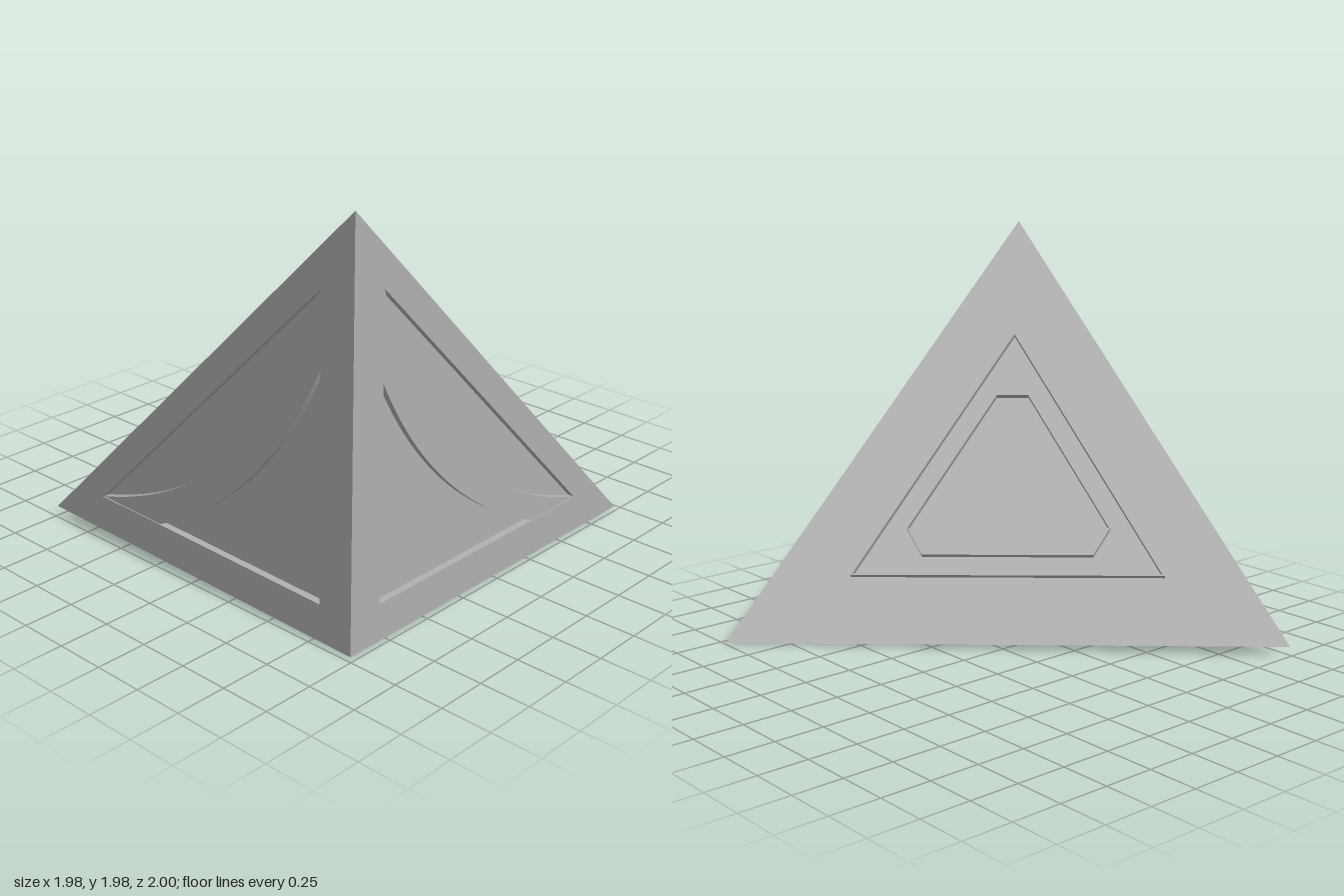
import * as THREE from 'three';
import { mergeGeometries } from 'three/addons/utils/BufferGeometryUtils.js';

const V = (x, y, z) => new THREE.Vector3(x, y, z);
const P = (s, t) => new THREE.Vector2(s, t);

// Solid corners: top, square corner, side and back
const TOP = V(-0.98, 1.98, 1), CORNER = V(-0.975, 0.005, 0.975);
const SIDE = V(0.99, 0, 0.97), BACK = V(-0.985, 0.05, -1);
const DEPTH = 0.035;

// Maps face coordinates (s, t) and a height along the outward normal to space
function faceFrame(o, p, q) {
  const e1 = p.clone().sub(o), e2 = q.clone().sub(o);
  const n = e1.clone().cross(e2).normalize();
  return (s, t, h) => o.clone().addScaledVector(e1, s).addScaledVector(e2, t).addScaledVector(n, h);
}

// Flat panel at height h, with optional hole
function flat(map, outline, h, hole) {
  const shape = new THREE.Shape(outline);
  if (hole) shape.holes.push(new THREE.Path(hole));
  const g = new THREE.ShapeGeometry(shape).toNonIndexed();
  const pos = g.attributes.position;
  for (let i = 0; i < pos.count; i++) {
    const v = map(pos.getX(i), pos.getY(i), h);
    pos.setXYZ(i, v.x, v.y, v.z);
  }
  g.deleteAttribute('uv');
  g.computeVertexNormals();
  return g;
}

// Wall around a counter-clockwise loop, facing outward (inward when flipped)
function wall(map, loop, h0, h1, inward = false) {
  const pts = inward ? [...loop].reverse() : loop;
  const out = [];
  pts.forEach((a, i) => {
    const b = pts[(i + 1) % pts.length];
    const [p, q, r, s] = [map(a.x, a.y, h0), map(b.x, b.y, h0), map(b.x, b.y, h1), map(a.x, a.y, h1)];
    for (const v of [p, q, r, p, r, s]) out.push(v.x, v.y, v.z);
  });
  const g = new THREE.BufferGeometry();
  g.setAttribute('position', new THREE.Float32BufferAttribute(out, 3));
  g.computeVertexNormals();
  return g;
}

const arc = (a, c, b) => new THREE.QuadraticBezierCurve(a, c, b).getPoints(24);

export function createModel() {
  const group = new THREE.Group();
  const grey = new THREE.MeshStandardMaterial({ color: 0xb0b0b0, side: THREE.DoubleSide });
  grey.name = 'grey';
  const add = (name, ...geos) => {
    const mesh = new THREE.Mesh(mergeGeometries(geos), grey);
    mesh.name = name;
    group.add(mesh);
  };

  const triangle = [P(0, 0), P(1, 0), P(0, 1)];
  const recess = [P(0.092, 0.092), P(0.816, 0.092), P(0.092, 0.816)];
  // Crescent between two arcs
  const crescent = [
    ...arc(P(0.64, 0.093), P(0.265, 0.265), P(0.093, 0.61)).reverse(),
    ...arc(P(0.815, 0.093), P(0.26, 0.26), P(0.093, 0.815)),
  ];

  // Three square-cornered faces: frame, sunk panel and crescent
  const faces = { front: [SIDE, TOP], right: [TOP, BACK], bottom: [BACK, SIDE] };
  for (const [name, [p, q]] of Object.entries(faces)) {
    const map = faceFrame(CORNER, p, q);
    add(name + 'Frame', flat(map, triangle, 0, recess));
    add(name + 'SunkPanel', flat(map, recess, -DEPTH), wall(map, recess, -DEPTH, 0, true));
    add(name + 'Crescent', flat(map, crescent, -0.003), wall(map, crescent, -DEPTH, -0.003));
  }

  // Sloping face with two thin raised rims
  const slope = faceFrame(TOP, SIDE, BACK);
  add('slopingFace', flat(slope, triangle, 0));
  const rims = {
    outerRim: [P(0.145, 0.145), P(0.71, 0.145), P(0.145, 0.71)],
    innerRim: [P(0.25, 0.19), P(0.56, 0.19), P(0.56, 0.25), P(0.25, 0.56), P(0.19, 0.56), P(0.19, 0.25)],
  };
  for (const [name, outer] of Object.entries(rims)) {
    const inner = outer.map((p) => p.clone().subScalar(1 / 3).multiplyScalar(0.985).addScalar(1 / 3));
    add(name, flat(slope, outer, DEPTH, inner), wall(slope, outer, 0, DEPTH), wall(slope, inner, 0, DEPTH, true));
  }
  return group;
}
